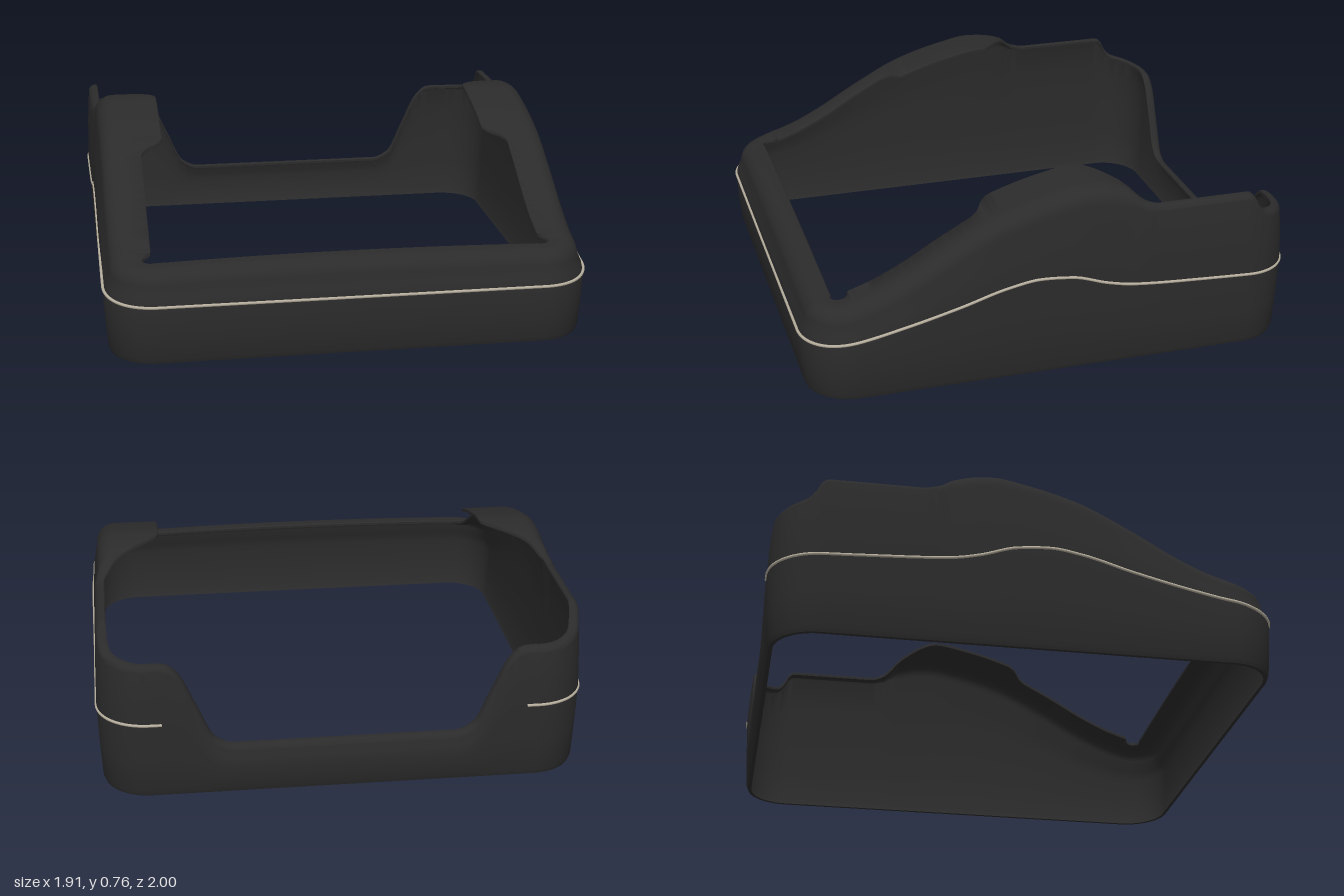
import * as THREE from 'three';
import { toCreasedNormals } from 'three/addons/utils/BufferGeometryUtils.js';

// Smooth interpolation through [position, value] pairs without overshoot
function curve(pts) {
  const slope = (i) => (pts[i + 1][1] - pts[i][1]) / (pts[i + 1][0] - pts[i][0]);
  const tangent = (i) => {
    if (i === 0 || i === pts.length - 1) return 0;
    const a = slope(i - 1), b = slope(i);
    return a * b <= 0 ? 0 : (2 * a * b) / (a + b);
  };
  return (x) => {
    if (x <= pts[0][0]) return pts[0][1];
    if (x >= pts[pts.length - 1][0]) return pts[pts.length - 1][1];
    let i = 0;
    while (x > pts[i + 1][0]) i++;
    const w = pts[i + 1][0] - pts[i][0], t = (x - pts[i][0]) / w, t2 = t * t, t3 = t2 * t;
    return (2 * t3 - 3 * t2 + 1) * pts[i][1] + (t3 - 2 * t2 + t) * w * tangent(i)
      + (3 * t2 - 2 * t3) * pts[i + 1][1] + (t3 - t2) * w * tangent(i + 1);
  };
}

const HALF_X = 0.95, HALF_Z = 0.994, CORNER = 0.2, WALL = 0.014;
const CX = HALF_X - CORNER, CZ = HALF_Z - CORNER;

// Top edge height along the sides, and across the cut-away back
const sideHeight = curve([[-1, 0.55], [-0.94, 0.56], [-0.87, 0.575], [-0.84, 0.6], [-0.8, 0.655], [-0.77, 0.66],
  [-0.42, 0.66], [-0.36, 0.675], [-0.28, 0.735], [-0.2, 0.755], [-0.13, 0.76], [0, 0.738], [0.2, 0.68],
  [0.4, 0.58], [0.6, 0.465], [0.72, 0.41], [0.82, 0.38], [0.9, 0.37], [1, 0.366]]);
const backHeight = curve([[0.43, 0.2], [0.5, 0.23], [0.57, 0.37], [0.64, 0.51], [0.69, 0.548], [0.75, 0.552]]);
// Inner edge of the top flange along the sides
const flangeX = curve([[-0.39, 0.898], [-0.33, 0.87], [-0.25, 0.775], [-0.2, 0.712], [-0.16, 0.677], [-0.13, 0.67],
  [0.21, 0.67], [0.24, 0.688], [0.28, 0.748], [0.31, 0.762]]);
// Height of the trim line
const trimHeight = curve([[-1, 0.312], [-0.5, 0.33], [-0.3, 0.345], [-0.2, 0.365], [-0.05, 0.41], [0.08, 0.42],
  [0.2, 0.402], [0.4, 0.345], [0.6, 0.295], [0.8, 0.255], [1, 0.234]]);

// Stations round the left half, back centre to front centre: outer point, flange edge, height
function halfStations() {
  const list = [];
  const add = (x, z, qx, qz, h) => list.push({ x, z, qx, qz, h });
  for (let i = 0; i < 50; i++) {
    const x = (CX * i) / 50;
    add(x, -HALF_Z, x, -HALF_Z + 0.052, backHeight(x));
  }
  for (let i = 0; i < 16; i++) {
    const a = (i / 16) * Math.PI / 2, s = Math.sin(a), c = Math.cos(a), r = CORNER - 0.052;
    const z = -CZ - CORNER * c;
    add(CX + CORNER * s, z, CX + r * s, -CZ - r * c, sideHeight(z));
  }
  for (let i = 0; i < 130; i++) {
    const z = -CZ + (2 * CZ * i) / 130;
    add(HALF_X, z, flangeX(z), z, sideHeight(z));
  }
  // Front corner, whose flange edge runs round a small relief notch
  for (let i = 0; i <= 20; i++) {
    const t = i / 20, a = t * Math.PI / 2, b = -1.5 + t * 3.6;
    const z = CZ + CORNER * Math.sin(a);
    add(CX + CORNER * Math.cos(a), z, 0.764 + 0.032 * Math.cos(b), 0.83 + 0.032 * Math.sin(b), sideHeight(z));
  }
  for (let i = 1; i <= 16; i++) {
    const x = CX * (1 - i / 16);
    add(x, HALF_Z, x * 0.995, 0.859, 0.366 + 0.012 * (1 - (x / CX) ** 2));
  }
  return list;
}

// Wall and flange cross-section as [inset, height], outer face up and inner face down
function section(width, h, trim) {
  const m = Math.min(trim, h * 0.6), lean = Math.min(0.025, width * 0.25);
  const r = Math.min(0.075, width * 0.55), top = h - r;
  const outer = [[0.022, 0], [0.014, 0.02], [0.006, m * 0.5], [0, m], [lean * 0.35, m + (top - m) * 0.55]];
  const inner = outer.map(([i, y]) => [i + WALL, y]);
  for (let k = 0; k <= 7; k++) {
    const a = (k / 7) * Math.PI / 2, c = Math.cos(a), s = Math.sin(a);
    outer.push([lean + r - r * c, top + r * s]);
    inner.push([lean + r - (r - WALL) * c, top + (r - WALL) * s]);
  }
  outer.push([width - 0.004, h], [width, h - 0.004]);
  inner.push([width, h - WALL]);
  return outer.concat(inner.reverse());
}

function shellGeometry(stations) {
  const pos = [], idx = [];
  let n = 0;
  for (const p of stations) {
    const dx = p.qx - p.x, dz = p.qz - p.z, w = Math.hypot(dx, dz);
    const ring = section(w, p.h, trimHeight(p.z));
    n = ring.length;
    for (const [i, y] of ring) pos.push(p.x + (dx / w) * i, y, p.z + (dz / w) * i);
  }
  const count = stations.length;
  for (let s = 0; s < count; s++) {
    for (let u = 0; u < n; u++) {
      const s2 = (s + 1) % count, u2 = (u + 1) % n;
      const a = s * n + u, b = s * n + u2, c = s2 * n + u, d = s2 * n + u2;
      idx.push(a, b, c, b, d, c);
    }
  }
  const g = new THREE.BufferGeometry();
  g.setAttribute('position', new THREE.Float32BufferAttribute(pos, 3));
  g.setIndex(idx);
  return toCreasedNormals(g, 0.75);
}

export function createModel() {
  const group = new THREE.Group();
  group.name = 'consoleSurround';
  const black = new THREE.MeshStandardMaterial({ color: 0x2b2b2b });
  black.name = 'soft black';
  const silver = new THREE.MeshStandardMaterial({ color: 0xb5ad9c });
  silver.name = 'warm silver';

  // Mirror the half outline into a closed loop
  const half = halfStations();
  const mirrored = half.slice(1, -1).reverse().map((p) => ({ ...p, x: -p.x, qx: -p.qx }));
  const loop = half.concat(mirrored);

  const shell = new THREE.Mesh(shellGeometry(loop), black);
  shell.name = 'surroundShell';
  group.add(shell);

  // Trim line round the outside, stopping at the back opening
  const path = loop
    .filter((p) => p.z > -HALF_Z + 0.001 || Math.abs(p.x) > 0.69)
    .map((p) => new THREE.Vector3(p.x, trimHeight(p.z), p.z));
  const trim = new THREE.Mesh(
    new THREE.TubeGeometry(new THREE.CatmullRomCurve3(path), 420, 0.006, 8), silver);
  trim.name = 'trimLine';
  group.add(trim);
  return group;
}
